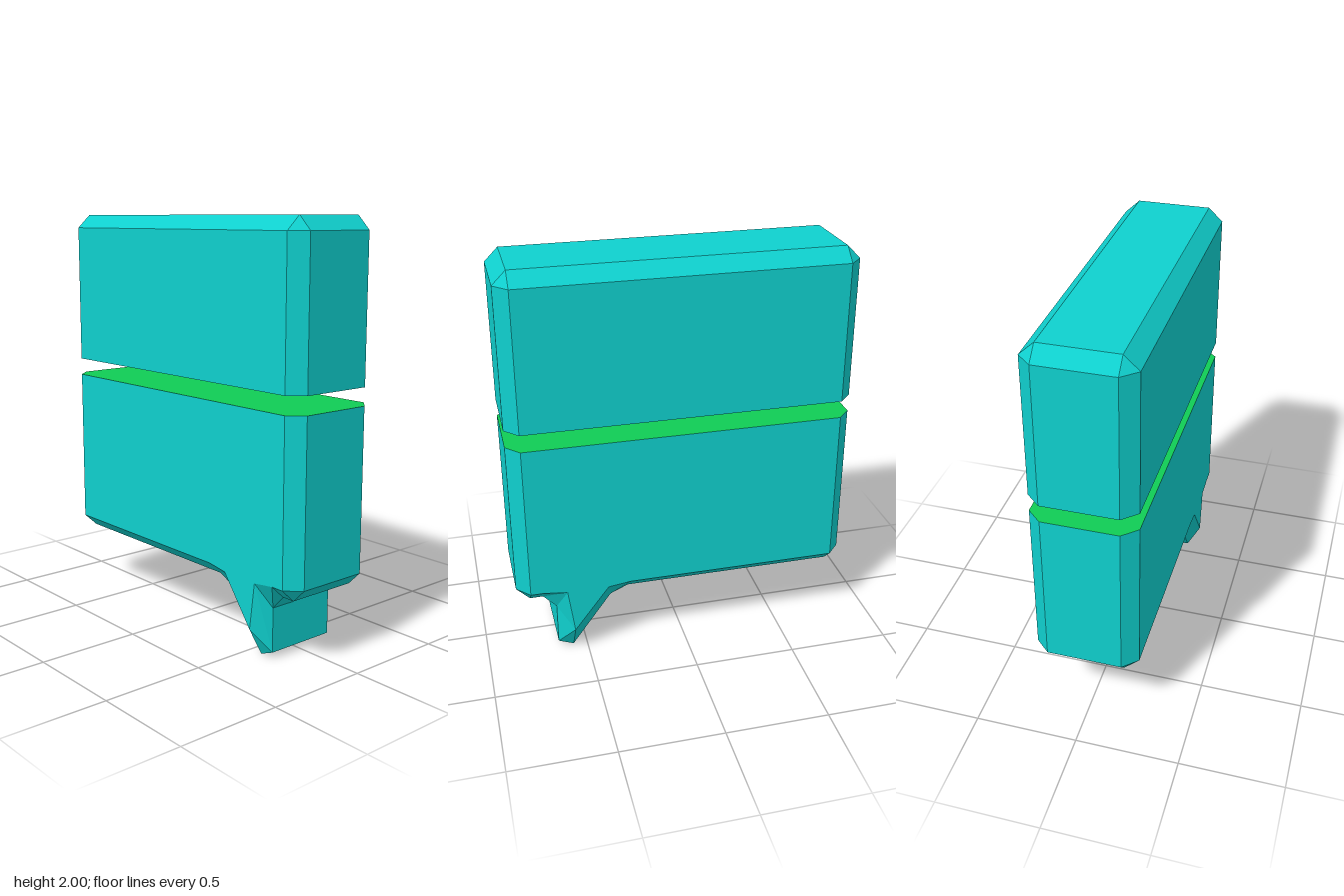
import * as THREE from 'three';

const teal = new THREE.MeshStandardMaterial({ color: 0x0fd0ce, flatShading: true });
const green = new THREE.MeshStandardMaterial({ color: 0x10cc55, flatShading: true });

// Each outline point: [rim x, rim y, face x, face y], counter-clockwise.
// The rim runs round the sides; the face is the inset front and back panel.
const upper = [
  [0.84, 1.25, 0.775, 1.25], [0.84, 1.935, 0.775, 1.935], [0.775, 2, 0.775, 1.935],
  [-0.775, 2, -0.775, 1.935], [-0.84, 1.935, -0.775, 1.935], [-0.84, 1.25, -0.775, 1.25],
];
const lower = [
  [-0.84, 1.165, -0.775, 1.165], [-0.84, 0.385, -0.775, 0.385], [-0.775, 0.32, -0.775, 0.385],
  [0.28, 0.32, 0.28, 0.385], [0.37, 0.28, 0.39, 0.37],
  [0.57, 0.005, 0.565, 0.14], [0.645, 0.035, 0.565, 0.14], // tail tip
  [0.645, 0.25, 0.595, 0.37], [0.71, 0.32, 0.71, 0.385],
  [0.775, 0.32, 0.775, 0.385], [0.84, 0.385, 0.775, 0.385], [0.84, 1.165, 0.775, 1.165],
];

function toMesh(name, points, material) {
  const geometry = new THREE.BufferGeometry().setFromPoints(points);
  geometry.computeVertexNormals();
  const mesh = new THREE.Mesh(geometry, material);
  mesh.name = name;
  return mesh;
}

// Bevelled slab lofted back to front; the edge closing the outline is the cut.
function slab(name, outline) {
  const rings = [[-0.25, 2], [-0.18, 0], [0.18, 0], [0.25, 2]].map(([z, k]) =>
    outline.map((p) => new THREE.Vector3(p[k], p[k + 1], z)));
  const shell = [], cut = [];
  const tri = (list, a, b, c) => {
    if (!a.equals(b) && !b.equals(c) && !c.equals(a)) list.push(a, b, c);
  };
  for (let r = 0; r < 3; r++) {
    outline.forEach((_, i) => {
      const j = (i + 1) % outline.length;
      const list = j === 0 ? cut : shell;
      const [a, b, c, d] = [rings[r][i], rings[r][j], rings[r + 1][j], rings[r + 1][i]];
      tri(list, a, b, c);
      tri(list, a, c, d);
    });
  }
  // Flat front and back panels, without the doubled corner points
  const unique = (ring) => ring.filter((p, i) => i === 0 || !p.equals(ring[i - 1]));
  const front = unique(rings[3]), back = unique(rings[0]);
  const contour = front.map((p) => new THREE.Vector2(p.x, p.y));
  for (const [a, b, c] of THREE.ShapeUtils.triangulateShape(contour, [])) {
    tri(shell, front[a], front[b], front[c]);
    tri(shell, back[c], back[b], back[a]);
  }
  const group = new THREE.Group();
  group.name = name;
  group.add(toMesh(name + 'Shell', shell, teal), toMesh(name + 'CutFace', cut, green));
  return group;
}

export function createModel() {
  const model = new THREE.Group();
  model.name = 'splitSpeechBubble';
  model.add(slab('upperHalf', upper), slab('lowerHalfWithTail', lower));
  return model;
}
